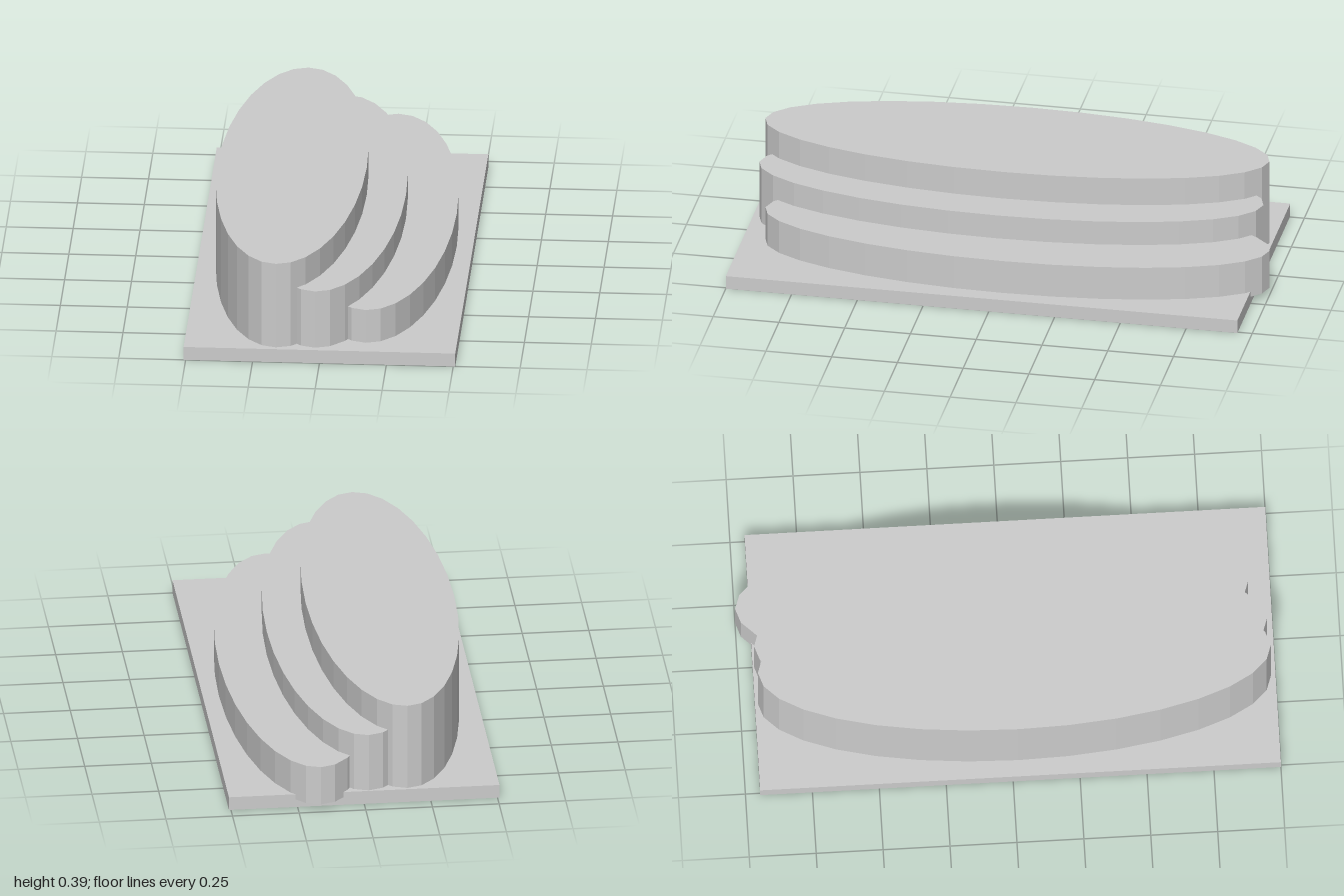
import * as THREE from 'three';

export function createModel() {
  const group = new THREE.Group();
  const material = new THREE.MeshStandardMaterial({ color: 0xcccccc, flatShading: true });

  function add(name, geometry, x, y, z) {
    const mesh = new THREE.Mesh(geometry, material);
    mesh.name = name;
    mesh.position.set(x, y, z);
    group.add(mesh);
  }

  // Rectangular base plate
  const baseHeight = 0.052;
  add('basePlate', new THREE.BoxGeometry(1.015, baseHeight, 1.945), 0, baseHeight / 2, 0.0275);

  // Three overlapping elliptical tiers, sunk slightly into the plate
  const bottom = 0.031;
  const tiers = [
    { name: 'highTier', x: -0.164, z: 0.024, top: 0.389 },
    { name: 'middleTier', x: -0.018, z: 0.018, top: 0.279 },
    { name: 'lowTier', x: 0.168, z: -0.042, top: 0.184 },
  ];
  for (const { name, x, z, top } of tiers) {
    const height = top - bottom;
    const geometry = new THREE.CylinderGeometry(1, 1, height, 32).scale(0.279, 1, 0.958);
    add(name, geometry, x, bottom + height / 2, z);
  }

  return group;
}
